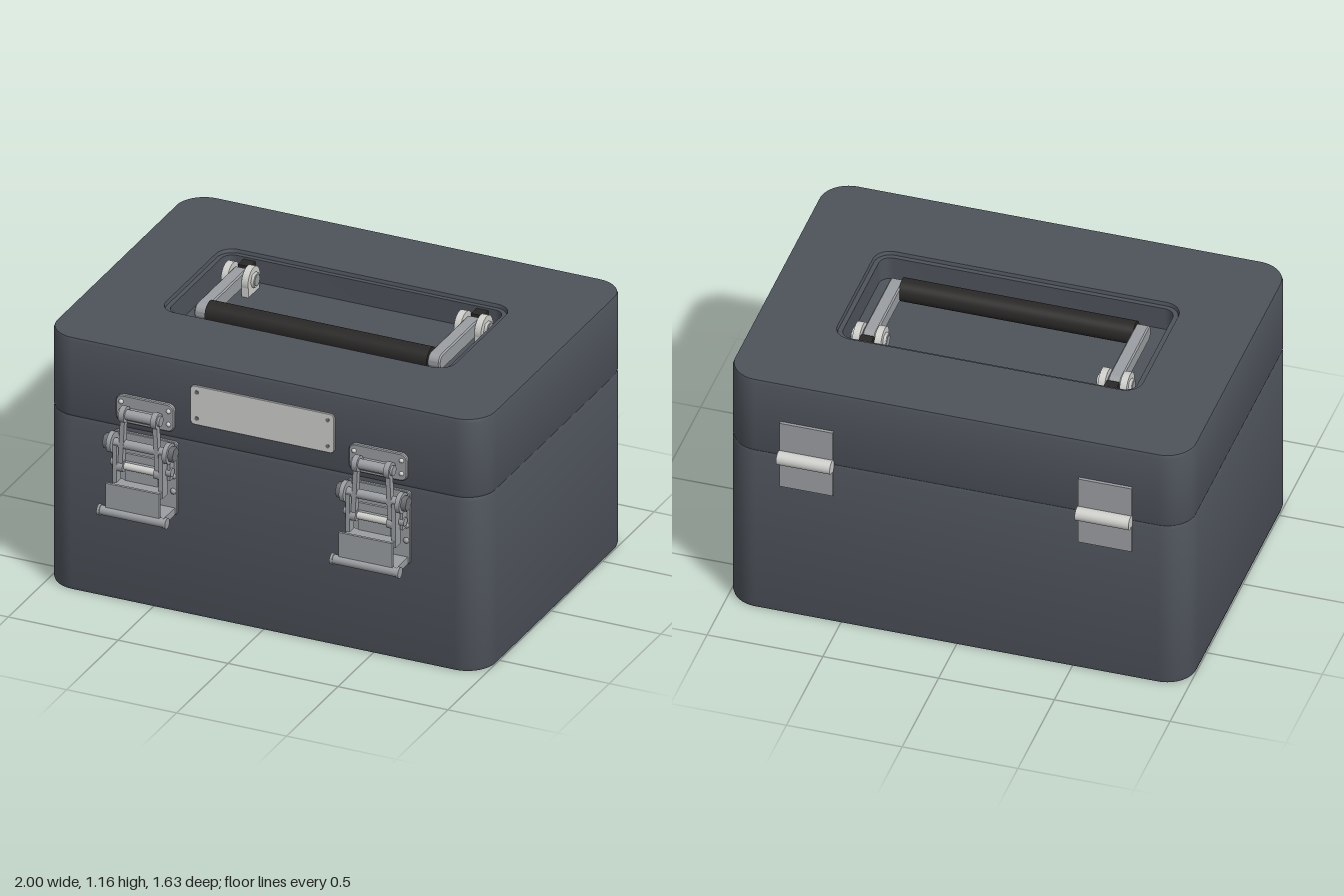
import * as THREE from 'three';
import { toCreasedNormals } from 'three/addons/utils/BufferGeometryUtils.js';

const mat = (name, color) => {
  const m = new THREE.MeshStandardMaterial({ color });
  m.name = name;
  return m;
};

// Rounded rectangle centred on the origin
function roundRect(w, h, r, Type = THREE.Shape) {
  const s = new Type(), x = w / 2, y = h / 2;
  s.moveTo(-x + r, -y);
  s.lineTo(x - r, -y);
  s.absarc(x - r, -y + r, r, -Math.PI / 2, 0);
  s.lineTo(x, y - r);
  s.absarc(x - r, y - r, r, 0, Math.PI / 2);
  s.lineTo(-x + r, y);
  s.absarc(-x + r, y - r, r, Math.PI / 2, Math.PI);
  s.lineTo(-x, -y + r);
  s.absarc(-x + r, -y + r, r, Math.PI, Math.PI * 1.5);
  return s;
}

// Extruded shape from z = 0 to z = depth, edges eased inwards
function slab(shape, depth, size = 0, thick = size) {
  const g = new THREE.ExtrudeGeometry(shape, {
    depth: depth - 2 * thick, curveSegments: 10, bevelEnabled: size > 0,
    bevelSize: size, bevelThickness: thick, bevelOffset: -size, bevelSegments: 1,
  });
  g.translate(0, 0, thick);
  return toCreasedNormals(g, 0.5);
}

function add(parent, name, geometry, material, x = 0, y = 0, z = 0) {
  const m = new THREE.Mesh(geometry, material);
  m.name = name;
  m.position.set(x, y, z);
  parent.add(m);
  return m;
}

const box = (w, h, d) => new THREE.BoxGeometry(w, h, d);
const rod = (r, length, sides = 24) =>
  new THREE.CylinderGeometry(r, r, length, sides).rotateZ(Math.PI / 2);

export function createModel() {
  const shell = mat('slate shell', 0x4e535b);
  const steel = mat('steel', 0x9b9ea2);
  const bright = mat('bright metal', 0xcfd0cc);
  const dark = mat('dark metal', 0x6f7276);
  const rubber = mat('black rubber', 0x292827);

  const model = new THREE.Group();
  model.name = 'toolCase';
  const midZ = -0.0475;
  const flat = (shape, h, size, thick) => slab(shape, h, size, thick).rotateX(-Math.PI / 2);

  // Case body and lid with a recessed handle well
  add(model, 'base', flat(roundRect(2, 1.415, 0.13), 0.8, 0.005, 0.016), shell, 0, 0, midZ);
  const lidShape = roundRect(2, 1.415, 0.13);
  lidShape.holes.push(roundRect(1.31, 0.625, 0.07, THREE.Path));
  add(model, 'lid', flat(lidShape, 0.36, 0.005, 0.014), shell, 0, 0.8, midZ);
  const rimShape = roundRect(1.312, 0.627, 0.07);
  rimShape.holes.push(roundRect(1.27, 0.585, 0.05, THREE.Path));
  add(model, 'wellRim', flat(rimShape, 0.13), shell, 0, 1.015, midZ);
  add(model, 'wellFloor', flat(roundRect(1.3, 0.61, 0.06), 0.02), shell, 0, 1.02, midZ);

  // Name plate with four rivets
  add(model, 'namePlate', slab(roundRect(0.655, 0.18, 0.02), 0.009, 0.002), bright, 0, 0.975, 0.66);
  for (const x of [-0.298, 0.298]) for (const y of [0.915, 1.035])
    add(model, 'plateRivet', new THREE.CylinderGeometry(0.009, 0.009, 0.004, 12).rotateX(Math.PI / 2),
      dark, x, y, 0.67);

  // Carrying handle
  const handle = new THREE.Group();
  handle.name = 'handle';
  model.add(handle);
  add(handle, 'grip', rod(0.05, 1.01, 32), rubber, 0, 1.105, 0.102);
  for (const s of [-1, 1]) {
    const x = s * 0.53;
    add(handle, 'handleArm', slab(roundRect(0.42, 0.07, 0.034), 0.058, 0.006).rotateY(Math.PI / 2),
      steel, x - 0.029, 1.105, -0.07);
    add(handle, 'armStop', box(0.055, 0.09, 0.065), rubber, x, 1.09, -0.318);
    add(handle, 'pivotPin', rod(0.025, 0.155), steel, x, 1.1, -0.25);
    for (const t of [-1, 1]) {
      add(handle, 'pivotDisc', rod(0.058, 0.03), bright, x + t * 0.047, 1.1, -0.25);
      add(handle, 'pivotFoot', box(0.03, 0.07, 0.11), bright, x + t * 0.047, 1.068, -0.25);
      add(handle, 'pivotCap', rod(0.034, 0.014, 6), bright, x + t * 0.068, 1.1, -0.25);
    }
  }

  // Two draw latches on the front
  for (const s of [-1, 1]) {
    const latch = new THREE.Group();
    latch.name = 'latch';
    latch.position.set(s * 0.53, 0, 0);
    model.add(latch);
    // Keeper on the lid
    add(latch, 'keeperPlate', slab(roundRect(0.265, 0.125, 0.03), 0.02, 0.004), steel, 0, 0.893, 0.658);
    add(latch, 'keeperHook', box(0.13, 0.035, 0.06), steel, 0, 0.885, 0.695);
    add(latch, 'keeperBarrel', rod(0.022, 0.19), steel, 0, 0.895, 0.722);
    // Back plate on the base
    add(latch, 'backPlate', slab(roundRect(0.29, 0.335, 0.015), 0.016, 0.003), steel, 0, 0.618, 0.658);
    add(latch, 'bottomShelf', box(0.27, 0.032, 0.125), steel, 0, 0.468, 0.725);
    add(latch, 'flap', box(0.245, 0.13, 0.012), steel, 0, 0.535, 0.793);
    add(latch, 'flapPin', rod(0.02, 0.31), steel, 0, 0.47, 0.793);
    add(latch, 'crossPin', rod(0.016, 0.17), bright, 0, 0.655, 0.72);
    add(latch, 'axle', rod(0.02, 0.28), steel, 0, 0.755, 0.72);
    add(latch, 'lowerPin', rod(0.019, 0.275), steel, 0, 0.66, 0.702);
    add(latch, 'leverPlate', box(0.15, 0.15, 0.012), steel, 0, 0.635, 0.706);
    add(latch, 'leverLip', box(0.22, 0.028, 0.075), steel, 0, 0.57, 0.74);
    for (const t of [-1, 1]) {
      // Mirrored links, ears and bolts
      const link = add(latch, 'pullLink', box(0.02, 0.28, 0.03), steel, t * 0.078, 0.782, 0.725);
      link.rotation.z = t * 0.05;
      add(latch, 'linkEye', rod(0.035, 0.024), steel, t * 0.073, 0.895, 0.722);
      add(latch, 'linkFoot', rod(0.024, 0.026), steel, t * 0.083, 0.655, 0.725);
      add(latch, 'leverArm', box(0.018, 0.2, 0.045), steel, t * 0.105, 0.655, 0.725);
      add(latch, 'sideEar', box(0.012, 0.15, 0.05), steel, t * 0.125, 0.7, 0.69);
      add(latch, 'boltWasher', rod(0.045, 0.02), steel, t * 0.127, 0.755, 0.72);
      add(latch, 'boltHead', rod(0.033, 0.024, 6), dark, t * 0.148, 0.755, 0.72);
      add(latch, 'pinCap', rod(0.024, 0.012), steel, t * 0.15, 0.47, 0.793);
      for (const y of [0.56, 0.63])
        add(latch, 'plateRivet', new THREE.SphereGeometry(0.014, 12, 8), steel, t * 0.128, y, 0.672);
    }
    for (const t of [-1, 1]) for (const y of [0.865, 0.925])
      add(latch, 'keeperRivet', new THREE.SphereGeometry(0.011, 12, 8), bright, t * 0.108, y, 0.677);
  }

  // Two hinges on the back
  for (const s of [-1, 1]) {
    const hinge = new THREE.Group();
    hinge.name = 'hinge';
    hinge.position.set(s * 0.645, 0, 0);
    model.add(hinge);
    for (const y of [0.733, 0.893])
      add(hinge, 'hingeLeaf', box(0.23, 0.162, 0.016), steel, 0, y, -0.761);
    add(hinge, 'hingeBarrel', rod(0.03, 0.232), bright, 0, 0.81, -0.785);
  }
  return model;
}
